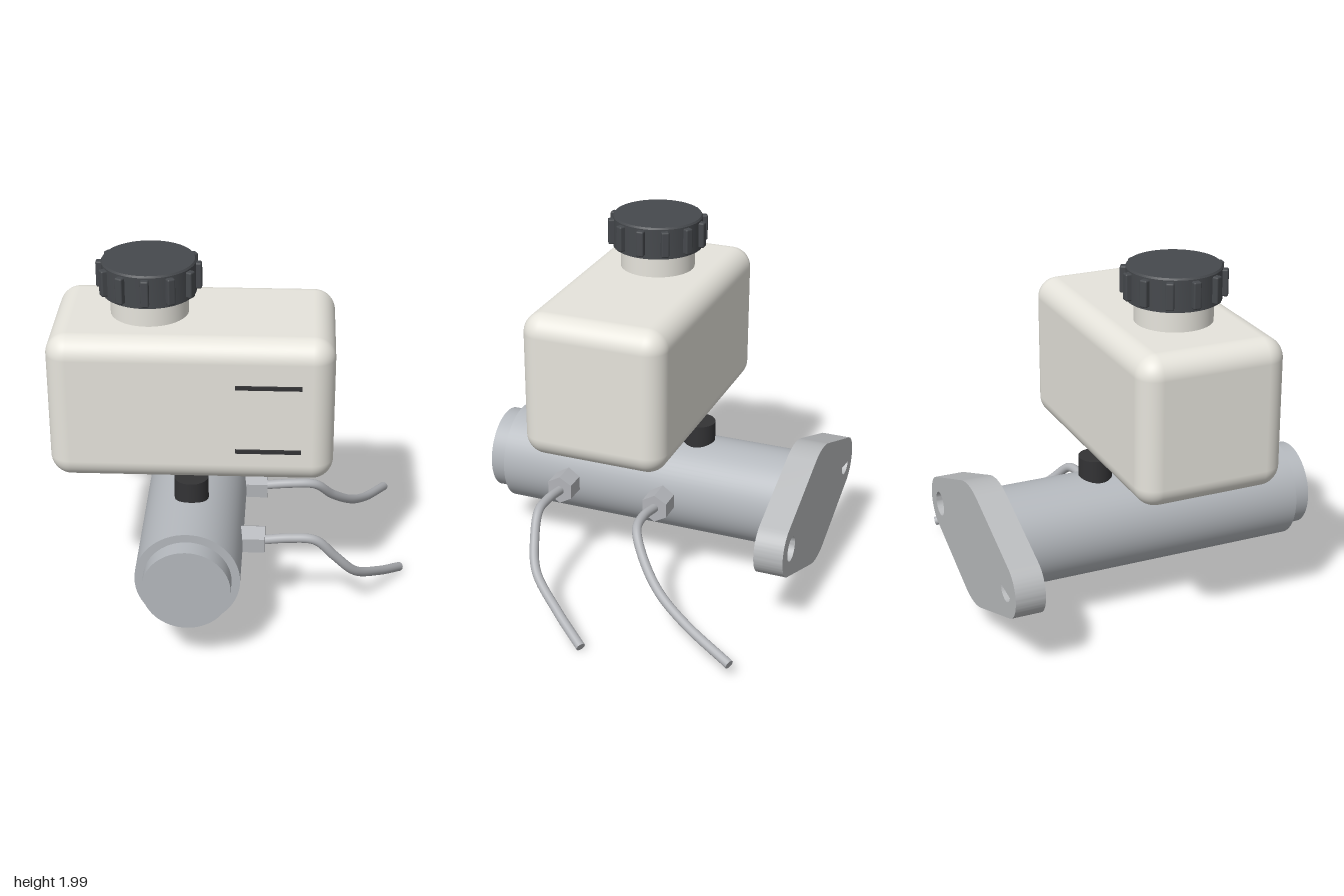
import * as THREE from 'three';
import { RoundedBoxGeometry } from 'three/addons/geometries/RoundedBoxGeometry.js';
import { toCreasedNormals } from 'three/addons/utils/BufferGeometryUtils.js';

const CX = -0.22, CY = 0.5;            // bore axis
const TANK_Z = 0.107;                  // reservoir centre line

const mat = (color) => new THREE.MeshStandardMaterial({ color });

export function createModel() {
  const model = new THREE.Group();
  const plastic = mat(0xe6e4dc), dark = mat(0x46494d), rubber = mat(0x333335);
  const casting = mat(0xb4b8bd), plate = mat(0xb9bbbd), steel = mat(0xb2b4b8), amber = mat(0x96772f);

  const add = (name, geometry, material, x = 0, y = 0, z = 0, parent = model) => {
    const mesh = new THREE.Mesh(geometry, material);
    mesh.name = name;
    mesh.position.set(x, y, z);
    parent.add(mesh);
    return mesh;
  };

  // Cylinder body and stepped front end, along z
  const alongZ = (name, r, z0, z1) => {
    const g = new THREE.CylinderGeometry(r, r, z1 - z0, 64).rotateX(Math.PI / 2);
    add(name, g, casting, CX, CY, (z0 + z1) / 2);
  };
  alongZ('cylinderBody', 0.278, -0.82, 0.868);
  alongZ('cylinderEnd', 0.233, 0.86, 0.97);

  // Mounting flange: hull of a large middle circle and two small ends
  const reach = 0.533, R = 0.347, r = 0.153, hole = 0.068;
  const a = Math.acos((R - r) / reach);          // tangent angle
  const outline = new THREE.Shape();
  outline.absarc(reach, 0, r, -a, a, false);
  outline.absarc(0, 0, R, a, Math.PI - a, false);
  outline.absarc(-reach, 0, r, Math.PI - a, Math.PI + a, false);
  outline.absarc(0, 0, R, Math.PI + a, 2 * Math.PI - a, false);
  outline.closePath();
  const roundHole = new THREE.Path();
  roundHole.absarc(reach, 0, hole, 0, Math.PI * 2, true);
  const halfHole = new THREE.Path();
  halfHole.absarc(-reach, 0, hole, 2 * Math.PI, Math.PI + 0.3, true);
  halfHole.closePath();
  outline.holes.push(roundHole, halfHole);
  const flange = new THREE.ExtrudeGeometry(outline, { depth: 0.162, bevelEnabled: false, curveSegments: 24 });
  add('mountingFlange', toCreasedNormals(flange, 0.6), plate, CX, CY, -0.964);

  // Reservoir, fluid floor and level marks
  add('reservoir', new RoundedBoxGeometry(1.51, 0.82, 0.815, 8, 0.115), plastic, CX, 1.29, TANK_Z);
  add('fluid', new THREE.BoxGeometry(1.29, 0.04, 0.6), amber, CX, 0.893, TANK_Z);
  for (const y of [1.083, 1.457])
    add('levelMark', new THREE.BoxGeometry(0.348, 0.02, 0.03), rubber, 0.19, y, 0.512);

  // Grommets between reservoir and body
  for (const z of [0.456, -0.24])
    add('grommet', new THREE.CylinderGeometry(0.092, 0.092, 0.2, 32), rubber, CX, 0.79, z);

  // Filler neck and ribbed cap
  const filler = new THREE.Group();
  filler.name = 'filler';
  filler.position.set(-0.453, 0, TANK_Z);
  model.add(filler);
  add('neck', new THREE.CylinderGeometry(0.208, 0.208, 0.2, 48), plastic, 0, 1.76, 0, filler);
  const capProfile = [[0, 1.82], [0.25, 1.82], [0.25, 1.99], [0.243, 2], [0, 2]].map(([x, y]) => new THREE.Vector2(x, y));
  add('cap', toCreasedNormals(new THREE.LatheGeometry(capProfile, 60), 0.5), dark, 0, 0, 0, filler);
  for (let i = 0; i < 12; i++) {
    const t = (i / 12) * Math.PI * 2;
    const rib = add('capRib', new RoundedBoxGeometry(0.055, 0.145, 0.044, 2, 0.009), dark,
      Math.cos(t) * 0.252, 1.91, -Math.sin(t) * 0.252, filler);
    rib.rotation.y = t;
  }

  // Hex fittings and bent brake pipes
  const pipes = [
    [[0.15, 0.495, 0.456], [0.32, 0.515, 0.462], [0.45, 0.505, 0.46], [0.56, 0.39, 0.435],
      [0.67, 0.26, 0.377], [0.82, 0.13, 0.18], [0.95, 0.035, -0.01]],
    [[0.15, 0.5, -0.124], [0.32, 0.522, -0.112], [0.45, 0.51, -0.13], [0.55, 0.4, -0.21],
      [0.66, 0.285, -0.345], [0.756, 0.19, -0.53], [0.89, 0.095, -0.825]],
  ];
  for (const points of pipes) {
    const hex = new THREE.CylinderGeometry(0.082, 0.082, 0.137, 6).rotateY(Math.PI / 2).rotateZ(Math.PI / 2);
    // keep a hexagon corner at the top
    hex.rotateX(Math.PI / 2 * (cornerUp(hex) ? 0 : 1));
    add('hexFitting', toCreasedNormals(hex, 0.3), steel, 0.1085, CY, points[0][2]);
    const curve = new THREE.CatmullRomCurve3(points.map((p) => new THREE.Vector3(...p)));
    add('pipe', new THREE.TubeGeometry(curve, 80, 0.026, 16), steel);
    const end = add('pipeEnd', new THREE.CircleGeometry(0.026, 16), steel, ...points.at(-1));
    end.lookAt(end.position.clone().add(curve.getTangentAt(1)));
  }
  return model;
}

// True when the hexagon reaches its full radius upward
function cornerUp(geometry) {
  geometry.computeBoundingBox();
  const { max } = geometry.boundingBox;
  return max.y > max.z;
}
